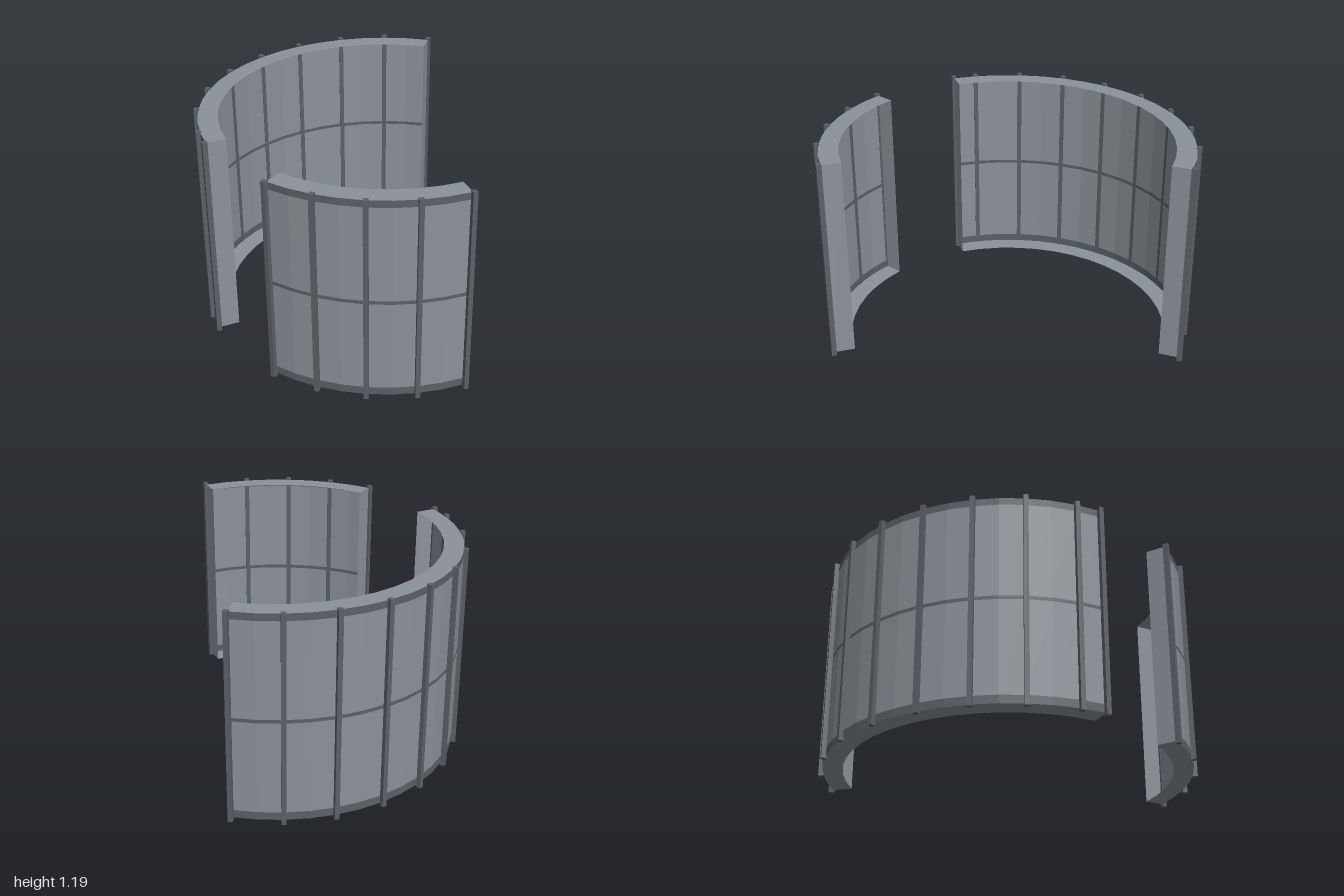
import * as THREE from 'three';

const CX = 0.045, CZ = 0.05;            // shared centre of both arcs
const R_IN = 0.916, R_OUT = 1.026;      // wall radii
const Y0 = 0.015, Y1 = 1.18;            // wall bottom and top

const wallMat = new THREE.MeshStandardMaterial({ color: 0x8b9299, flatShading: true, side: THREE.DoubleSide });
wallMat.name = 'wallGrey';
const trimMat = new THREE.MeshStandardMaterial({ color: 0x5c6166, flatShading: true, side: THREE.DoubleSide });
trimMat.name = 'trimGrey';

// Point at angle a (counter-clockwise seen from above, 0 = +x)
const at = (r, a, y) => [CX + r * Math.cos(a), y, CZ - r * Math.sin(a)];

function quadMesh(name, quads, material) {
  const pos = quads.flatMap(([a, b, c, d]) => [a, b, c, a, c, d].flat());
  const g = new THREE.BufferGeometry();
  g.setAttribute('position', new THREE.Float32BufferAttribute(pos, 3));
  g.computeVertexNormals();
  const m = new THREE.Mesh(g, material);
  m.name = name;
  return m;
}

function wallSection(name, startDeg, endDeg, segments) {
  const group = new THREE.Group();
  group.name = name;
  const rad = THREE.MathUtils.degToRad;
  const angles = Array.from({ length: segments + 1 }, (_, i) => rad(startDeg + (endDeg - startDeg) * i / segments));
  const perFacet = fn => angles.slice(1).map((a1, i) => fn(angles[i], a1));

  // Outer skin, split by height into panels and flush trim bands
  const skin = (lo, hi) => perFacet((a0, a1) =>
    [at(R_OUT, a0, lo), at(R_OUT, a1, lo), at(R_OUT, a1, hi), at(R_OUT, a0, hi)]);
  group.add(quadMesh('lowerPanels', skin(0.06, 0.583), wallMat));
  group.add(quadMesh('upperPanels', skin(0.603, 1.14), wallMat));
  group.add(quadMesh('bottomBand', skin(Y0, 0.06), trimMat));
  group.add(quadMesh('middleBand', skin(0.583, 0.603), trimMat));
  group.add(quadMesh('topBand', skin(1.14, Y1), trimMat));

  // Caps; the inner side stays open
  const ring = y => perFacet((a0, a1) =>
    [at(R_IN, a0, y), at(R_OUT, a0, y), at(R_OUT, a1, y), at(R_IN, a1, y)]);
  const end = a => [at(R_IN, a, Y0), at(R_OUT, a, Y0), at(R_OUT, a, Y1), at(R_IN, a, Y1)];
  group.add(quadMesh('topCap', ring(Y1), wallMat));
  group.add(quadMesh('bottomCap', ring(Y0).map(q => q.reverse()), wallMat));
  group.add(quadMesh('endCaps', [end(angles[0]), end(angles[segments]).reverse()], wallMat));

  // Vertical ribs on every second joint and on the last one
  const ribGeometry = new THREE.BoxGeometry(0.028, 1.19, 0.026);
  angles.forEach((a, i) => {
    if (i % 2 && i !== segments) return;
    const rib = new THREE.Mesh(ribGeometry, trimMat);
    rib.name = 'rib';
    rib.position.set(...at(1.036, a, 0.595));
    rib.rotation.y = a;
    group.add(rib);
  });
  return group;
}

export function createModel() {
  const model = new THREE.Group();
  model.name = 'curvedWall';
  model.add(wallSection('backWall', 25, 155, 17));
  model.add(wallSection('sideWall', 185, 244, 8));
  return model;
}
